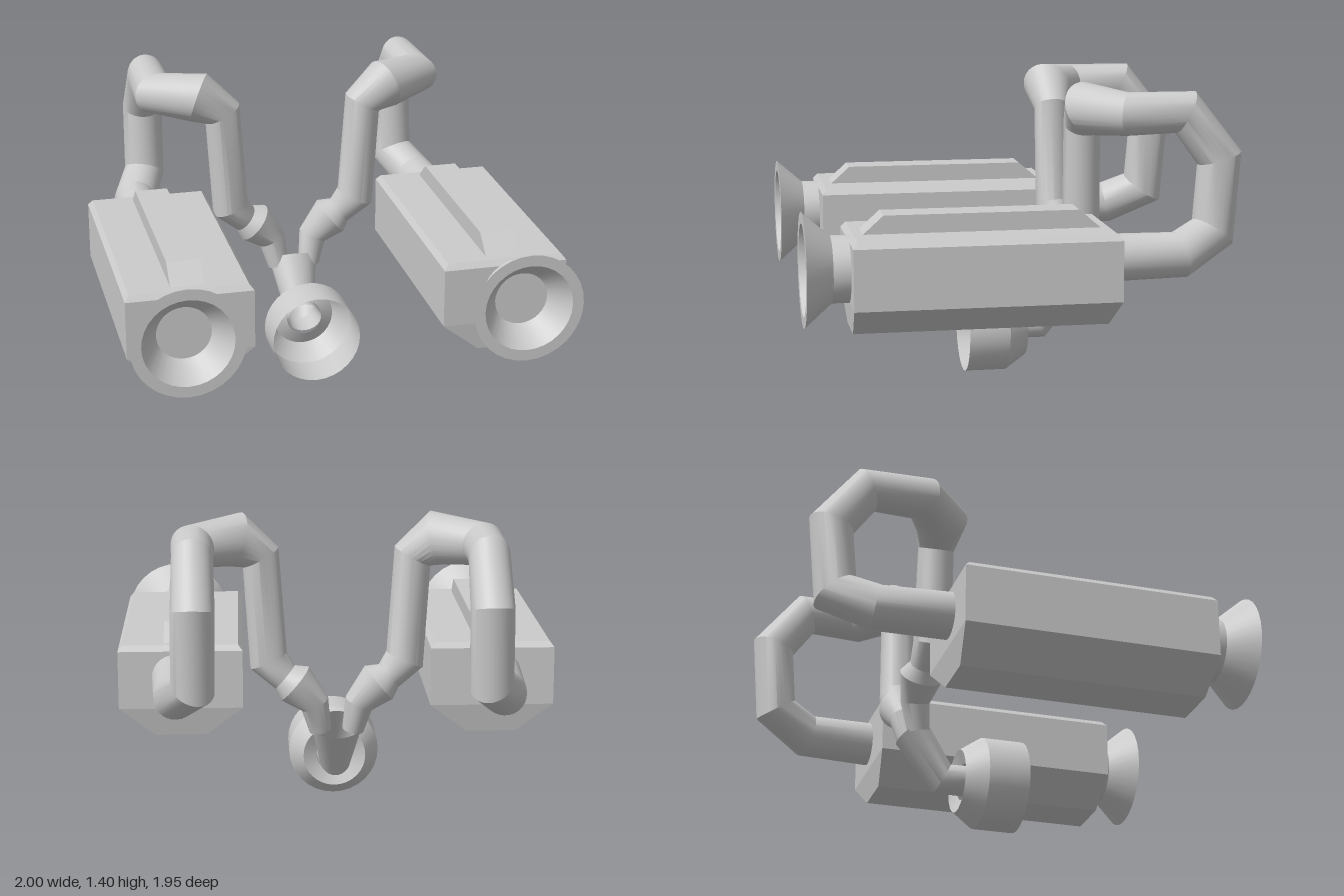
import * as THREE from 'three';
import { toCreasedNormals } from 'three/addons/utils/BufferGeometryUtils.js';
import { ConvexGeometry } from 'three/addons/geometries/ConvexGeometry.js';

const SIDES = 28;
const material = new THREE.MeshStandardMaterial({ color: 0xcccccc, side: THREE.DoubleSide });

function addMesh(parent, name, geometry) {
  const mesh = new THREE.Mesh(geometry, material);
  mesh.name = name;
  parent.add(mesh);
  return mesh;
}

// Mitred pipe through stations [x, y, z, radius, widthFactor]; x is the wide axis
function pipe(stations) {
  const pts = stations.map(s => new THREE.Vector3(s[0], s[1], s[2]));
  const dirs = pts.slice(1).map((p, i) => p.clone().sub(pts[i]).normalize());
  const u = new THREE.Vector3(1, 0, 0);
  if (Math.abs(dirs[0].x) > 0.9) u.set(0, 1, 0);
  u.addScaledVector(dirs[0], -u.dot(dirs[0])).normalize();
  const v = dirs[0].clone().cross(u);
  const position = [], index = [];
  pts.forEach((p, i) => {
    const din = dirs[Math.max(i - 1, 0)], dout = dirs[Math.min(i, dirs.length - 1)];
    const n = din.clone().add(dout).normalize();
    const [, , , r, wide = 1] = stations[i];
    for (let k = 0; k < SIDES; k++) {
      const a = (k / SIDES) * Math.PI * 2;
      const o = u.clone().multiplyScalar(Math.cos(a) * r * wide).addScaledVector(v, Math.sin(a) * r);
      o.addScaledVector(din, -o.dot(n) / din.dot(n)).add(p);
      position.push(o.x, o.y, o.z);
      if (i > 0) {
        const k2 = (k + 1) % SIDES, A = (i - 1) * SIDES, B = i * SIDES;
        index.push(A + k, A + k2, B + k, A + k2, B + k2, B + k);
      }
    }
    const turn = new THREE.Quaternion().setFromUnitVectors(din, dout);
    u.applyQuaternion(turn);
    v.applyQuaternion(turn);
  });
  const g = new THREE.BufferGeometry();
  g.setAttribute('position', new THREE.Float32BufferAttribute(position, 3));
  g.setIndex(index);
  return toCreasedNormals(g, 0.42);
}

// Turned part about the z axis, profile as [radius, z]
function turned(profile) {
  const g = new THREE.LatheGeometry(profile.map(p => new THREE.Vector2(...p)), 32);
  g.rotateX(Math.PI / 2);
  return toCreasedNormals(g, 0.42);
}

// Convex block from rectangles [halfWidth, y, zBack, zFront], centred on x = cx
function block(cx, levels) {
  const pts = [];
  for (const [w, y, z0, z1] of levels)
    for (const x of [cx - w, cx + w])
      for (const z of [z0, z1]) pts.push(new THREE.Vector3(x, y, z));
  return new ConvexGeometry(pts);
}

// One side unit; side = 1 is left, -1 is right
function buildSide(side) {
  const unit = new THREE.Group();
  unit.name = side > 0 ? 'leftUnit' : 'rightUnit';
  const cx = 0.705 * side;

  addMesh(unit, 'housing', block(cx, [
    [0.115, 0.39, -0.34, 0.775],
    [0.28, 0.52, -0.365, 0.785],
    [0.28, 0.785, -0.365, 0.785],
    [0.26, 0.81, -0.345, 0.765],
  ]));
  addMesh(unit, 'topRidge', block(cx, [
    [0.075, 0.8, -0.32, 0.735],
    [0.075, 0.89, -0.215, 0.635],
  ]));

  const horn = addMesh(unit, 'horn', turned([
    [0.145, 0.76], [0.145, 0.86], [0.25, 0.98], [0.2, 0.98], [0.12, 0.87], [0, 0.87],
  ]));
  horn.position.set(0.75 * side, 0.66, 0);

  // Hose from the housing's back, over the top and down to the joint
  addMesh(unit, 'hose', pipe([
    [0.73, 0.665, -0.34, 0.105],
    [0.715, 0.665, -0.68, 0.1],
    [0.64, 0.75, -0.85, 0.095],
    [0.635, 1.08, -0.877, 0.095],
    [0.635, 1.285, -0.72, 0.09],
    [0.64, 1.282, -0.46, 0.095],
    [0.45, 1.287, -0.325, 0.115],
    [0.34, 1.205, -0.32, 0.083],
    [0.308, 0.73, -0.325, 0.085],
    [0.235, 0.655, -0.338, 0.068],
    [0.19, 0.625, -0.342, 0.098],
    [0.1, 0.53, -0.345, 0.065],
    [0.075, 0.4, -0.32, 0.05],
  ].map(([x, ...rest]) => [x * side, ...rest])));
  return unit;
}

export function createModel() {
  const model = new THREE.Group();
  model.name = 'twinHornApparatus';
  model.add(buildSide(1), buildSide(-1));

  // Open central cup with a recessed collar at its back
  const cup = addMesh(model, 'centralCup', turned([
    [0.085, -0.09], [0.145, -0.115], [0.21, -0.02], [0.21, 0.17],
  ]));
  cup.position.y = 0.212;

  // Flared connector taking both hoses into the cup
  addMesh(model, 'connector', pipe([
    [0, 0.215, -0.08, 0.068, 1.2],
    [0, 0.215, -0.185, 0.068, 1.05],
    [0, 0.425, -0.335, 0.08, 1.45],
  ]));
  return model;
}
